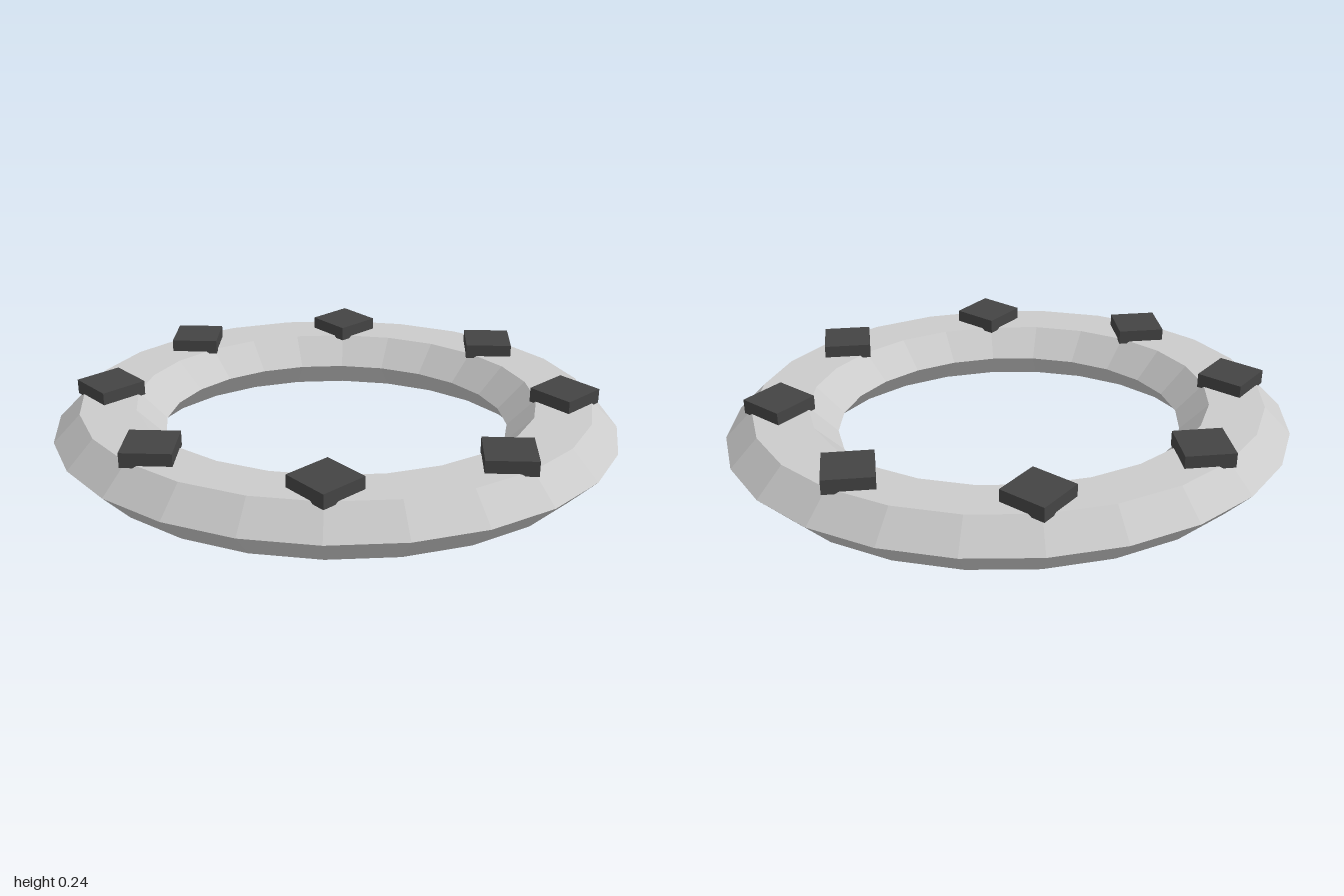
import * as THREE from 'three';

export function createModel() {
  const group = new THREE.Group();
  const radius = 0.805, tube = 0.195, depthScale = 0.857, halfHeight = 0.1;

  // Oval ring with a flattened hexagonal section
  const ringGeometry = new THREE.TorusGeometry(radius, tube, 6, 24);
  ringGeometry.rotateX(-Math.PI / 2);
  ringGeometry.scale(1, halfHeight / (tube * Math.sin(Math.PI / 3)), depthScale);
  ringGeometry.translate(0, halfHeight, 0);
  const ring = new THREE.Mesh(
    ringGeometry,
    new THREE.MeshStandardMaterial({ color: 0xcccccc, flatShading: true })
  );
  ring.name = 'ring';
  group.add(ring);

  // Eight square pads on top, each turned to its place around the ring
  const padGeometry = new THREE.BoxGeometry(0.17, 0.052, 0.17);
  const padMaterial = new THREE.MeshStandardMaterial({ color: 0x444444, flatShading: true });
  const pads = new THREE.Group();
  pads.name = 'pads';
  for (let i = 0; i < 8; i++) {
    const angle = (i * Math.PI) / 4;
    const pad = new THREE.Mesh(padGeometry, padMaterial);
    pad.name = `pad${i + 1}`;
    pad.position.set(Math.cos(angle) * radius, 0.218, Math.sin(angle) * radius * depthScale);
    pad.rotation.y = Math.PI / 4 - angle;
    pads.add(pad);
  }
  group.add(pads);
  return group;
}
